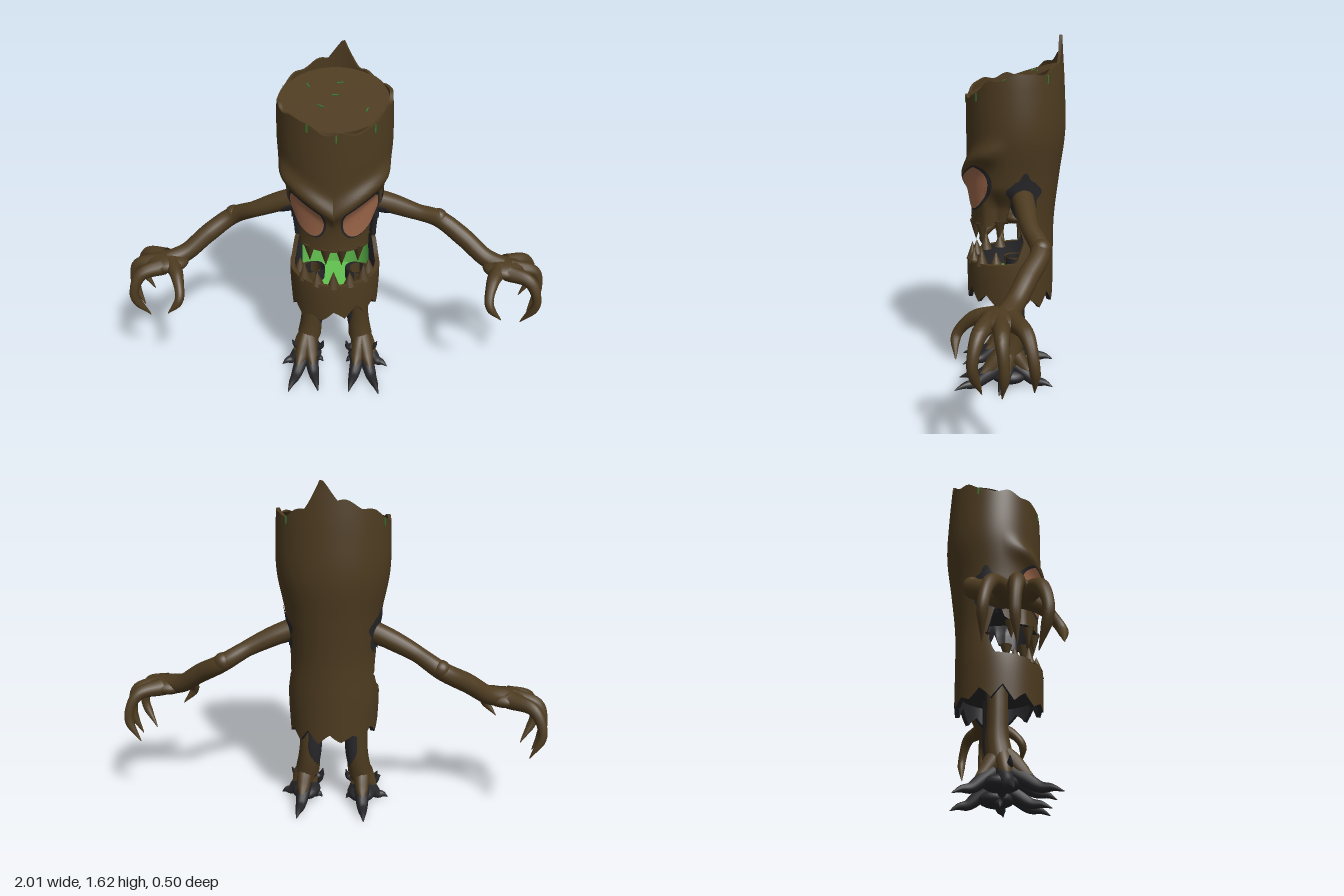
import * as THREE from 'three';
import { ParametricGeometry } from 'three/addons/geometries/ParametricGeometry.js';

const mat = (name, color) => new THREE.MeshStandardMaterial({ name, color, side: THREE.DoubleSide });
const { lerp, smoothstep, clamp } = THREE.MathUtils;

// piecewise linear lookup
function pl(x, xs, ys) {
  for (let i = 1; i < xs.length; i++) {
    if (x <= xs[i]) return lerp(ys[i - 1], ys[i], Math.max(0, (x - xs[i - 1]) / (xs[i] - xs[i - 1])));
  }
  return ys[ys.length - 1];
}

// trunk sections every 0.2 in height from y = 0.4: half width, front z, back z
const sections = new THREE.CatmullRomCurve3([
  [0.205, 0.2, -0.2], [0.213, 0.2, -0.2], [0.2, 0.18, -0.203], [0.22, 0.195, -0.225],
  [0.255, 0.2, -0.25], [0.255, 0.2, -0.245], [0.24, 0.2, -0.232],
].map((p) => new THREE.Vector3(...p)), false, 'catmullrom');

const browLine = (x) => 0.95 + 0.77 * Math.abs(x);
const side = (a) => Math.abs(Math.atan2(Math.sin(a), Math.cos(a)));

// point on the trunk: a = angle from the front, k = radius factor, off = outward offset
function trunk(a, y, k, off, target) {
  const s = sections.getPoint(clamp((y - 0.4) / 1.2, 0, 1));
  const cz = (s.y + s.z) / 2, hz = (s.y - s.z) / 2, b = side(a);
  // brow ridge, and cheeks pinched in beside the mouth
  const d = (y - browLine(Math.sin(a) * 0.21) - 0.03) / 0.05;
  const brow = 0.03 * smoothstep(Math.cos(a), 0.05, 0.6) * Math.exp(-d * d);
  const cheek = 0.035 * smoothstep(b, 0.85, 1.2) * (1 - smoothstep(b, 1.5, 1.72))
    * smoothstep(y, 0.63, 0.67) * (1 - smoothstep(y, 0.86, 0.98));
  const o = off + brow - cheek;
  return target.set(Math.sin(a) * (s.x * k + o), y, cz + Math.cos(a) * (hz * k + o));
}

// edges of the trunk: slanted broken rim, hem and mouth
const cutPlane = (z) => 1.43 - 0.33 * z;
const rimBase = (a) => cutPlane(Math.cos(a) * 0.22 - 0.02) + 0.012;
const rim = (a) => rimBase(a) + 0.022 * Math.sin(3 * a + 3.9) + 0.008 * Math.sin(8 * a) + 0.005 * Math.sin(13 * a)
  + 0.11 * Math.max(0, 1 - Math.abs(a - 3.0) / 0.3);
const hem = (a) => {
  const t = (a * 12) / (2 * Math.PI);
  const saw = Math.abs((t - Math.floor(t)) * 2 - 1);
  return 0.412 + saw * (0.045 + 0.02 * Math.sin(a * 3)) + 0.012 * Math.sin(a * 2);
};
const mouthTop = (a) => pl(side(a), [0, 1.0, 1.42, 1.58, 1.9], [0.775, 0.785, 0.82, 0.9, 0.72]);
const mouthLow = (a) => pl(side(a), [0, 1.2, 1.75, 1.9], [0.6, 0.615, 0.625, 0.72]);

const shell = (lo, hi, k, rows = 44, a0 = 0, a1 = 2 * Math.PI) => new ParametricGeometry((u, v, t) => {
  const a = lerp(a0, a1, u);
  trunk(a, lerp(lo(a), hi(a), v), k, 0, t);
}, 120, rows);

// flat band or cap joining two radii along an edge
const band = (edge, k0, k1) => new ParametricGeometry((u, v, t) => {
  const a = u * 2 * Math.PI;
  trunk(a, edge(a), lerp(k0, k1, v), 0, t);
}, 120, 4);

// thin plate hugging the trunk; outline(angle) returns [trunk angle, y]
const plate = (outline, centre, off, s) => new ParametricGeometry((u, v, t) => {
  const o = outline(-u * 2 * Math.PI * s), w = Math.max(v, 0.01);
  trunk(s * lerp(centre[0], o[0], w), lerp(centre[1], o[1], w), 1, off, t);
}, 48, 12);

// tapered round limb along a smooth curve
function limb(points, radii, s = 1, sides = 12, steps = 24) {
  const curve = new THREE.CatmullRomCurve3(points.map(([x, y, z]) => new THREE.Vector3(x * s, y, z)));
  const g = new THREE.TubeGeometry(curve, steps, 1, sides);
  const pos = g.attributes.position, p = new THREE.Vector3();
  const stops = radii.map((_, i) => i / (radii.length - 1));
  for (let i = 0; i <= steps; i++) {
    const c = curve.getPointAt(i / steps), r = pl(i / steps, stops, radii);
    for (let j = 0; j <= sides; j++) {
      const n = i * (sides + 1) + j;
      p.fromBufferAttribute(pos, n).sub(c).multiplyScalar(r).add(c);
      pos.setXYZ(n, p.x, p.y, p.z);
    }
  }
  return g;
}

const ball = (x, y, z, rx, ry, rz) => new THREE.SphereGeometry(1, 20, 14).scale(rx, ry, rz).translate(x, y, z);

export function createModel() {
  const model = new THREE.Group();
  model.name = 'treeMonster';
  const bark = mat('bark', 0x4d3b20), dark = mat('darkWood', 0x27272a);
  const eyeMat = mat('eye', 0xa0694b), green = mat('mouthGreen', 0x62c250), moss = mat('moss', 0x34752f);
  const add = (name, geometry, material) => {
    const m = new THREE.Mesh(geometry, material);
    m.name = name;
    model.add(m);
    return m;
  };

  // trunk, split by the mouth, with a dark lining
  add('head', shell(mouthTop, rim, 1), bark);
  add('lowerTrunk', shell(hem, mouthLow, 1, 16), bark);
  add('headLining', shell(mouthTop, () => 0.95, 0.9, 8), dark);
  add('lowerLining', shell(hem, mouthLow, 0.9, 8), dark);
  add('upperLip', band(mouthTop, 0.9, 1), dark);
  add('lowerLip', band(mouthLow, 1, 0.9), bark);
  add('hemEdge', band(hem, 0.9, 1), dark);
  add('mouthCeiling', band(() => 0.93, 0.01, 0.91), dark);
  add('mouthFloor', band(() => 0.51, 0.84, 0.01), green);
  add('belly', band(() => 0.5, 0.91, 0.01), dark);
  add('mouthBack', shell(() => 0.51, () => 0.92, 0.84, 8, 2.02, 2 * Math.PI - 2.02), green);

  // broken top with slanted cut face
  add('rimEdge', band(rim, 1, 0.94), bark);
  add('rimInside', shell((a) => rimBase(a) - 0.06, rim, 0.94, 4), bark);
  add('cutFace', new ParametricGeometry((u, v, t) => {
    trunk(u * 2 * Math.PI, 1.43, 0.95 * Math.max(0.005, 1 - v), 0, t);
    t.y = cutPlane(t.z);
  }, 60, 8), bark);
  for (const [x, z] of [[-0.12, -0.1], [0.02, -0.12], [0.14, 0.05], [-0.06, 0.03], [0.0, -0.04]]) {
    const m = add('mossFleck', new THREE.BoxGeometry(0.028, 0.005, 0.006), moss);
    m.position.set(x, cutPlane(z) + 0.001, z);
    m.rotation.set(0.32, x * 9, 0);
  }
  for (const a of [-0.45, 0.05, 0.75, 2.3, -2]) {
    const m = add('mossDrip', new THREE.BoxGeometry(0.007, 0.035, 0.006), moss);
    trunk(a, rim((a + 2 * Math.PI) % (2 * Math.PI)) - 0.02, 1, 0, m.position);
    m.rotation.y = a;
  }

  // jagged teeth along both lips
  const tooth = (a, y, h, dir, inset) => {
    const m = add(dir < 0 ? 'upperTooth' : 'lowerTooth', new THREE.ConeGeometry(0.029, h, 10), bark);
    trunk(a, y, 1, -inset, m.position);
    m.position.y += (dir * h) / 2 - dir * 0.012;
    m.rotation.x = dir < 0 ? Math.PI : 0;
  };
  [-1.15, -0.66, -0.2, 0.2, 0.66, 1.15].forEach((a, i) => tooth(a, mouthTop(a), i % 5 ? 0.095 : 0.085, -1, 0.02));
  [-1.2, -0.8, -0.4, 0, 0.4, 0.8, 1.2].forEach((a, i) => tooth(a, mouthLow(a), i % 2 ? 0.085 : 0.068, 1, i % 6 ? 0.022 : 0.04));

  for (const s of [1, -1]) {
    const part = (name, g, m) => add((s > 0 ? 'left' : 'right') + name, g, m);

    // slanted eye with dark outline
    const eye = (grow) => (p) => {
      const x = 0.112 + (0.072 + grow) * Math.cos(p);
      const y = 0.962 + (0.102 + grow) * Math.sin(p) + 0.35 * (x - 0.112);
      return [Math.asin(x / 0.212), Math.min(y, browLine(x) + grow)];
    };
    const eyeCentre = [Math.asin(0.112 / 0.212), 0.95];
    part('EyeOutline', plate(eye(0.009), eyeCentre, 0.003, s), dark);
    part('Eye', plate(eye(0), eyeCentre, 0.007, s), eyeMat);

    // ragged dark patch around the shoulder
    part('ShoulderPatch', plate((p) => {
      const r = 1 + 0.13 * Math.sin(5 * p) + 0.06 * Math.sin(9 * p);
      return [1.85 + 0.35 * r * Math.cos(p), 0.932 + 0.095 * r * Math.sin(p)];
    }, [1.85, 0.932], 0.005, s), dark);

    // arm, elbow knob and hand
    part('Arm', limb([[0.17, 0.93, -0.06], [0.25, 0.9, -0.075], [0.38, 0.84, -0.1], [0.5, 0.775, -0.145],
      [0.62, 0.7, -0.095], [0.72, 0.625, -0.045], [0.8, 0.6, -0.01]], [0.05, 0.046, 0.038, 0.042, 0.045, 0.043, 0.045], s, 16, 40), bark);
    part('ArmShade', limb([[0.19, 0.91, -0.06], [0.25, 0.887, -0.07], [0.31, 0.868, -0.084]], [0.045, 0.038, 0.025], s), dark);
    part('Elbow', ball(0.495 * s, 0.785, -0.148, 0.042, 0.042, 0.042), bark);
    part('Palm', ball(0.805 * s, 0.597, 0, 0.1, 0.042, 0.085), bark);
    const fingers = [
      [[0.82, 0.6, -0.04], [0.925, 0.58, -0.1], [0.97, 0.47, -0.13], [0.92, 0.35, -0.13]],
      [[0.83, 0.6, 0], [0.955, 0.57, -0.01], [0.983, 0.45, -0.02], [0.945, 0.335, -0.01]],
      [[0.82, 0.595, 0.04], [0.92, 0.57, 0.08], [0.96, 0.46, 0.1], [0.9, 0.33, 0.07]],
      [[0.78, 0.6, 0.02], [0.74, 0.575, 0.11], [0.725, 0.5, 0.18], [0.785, 0.42, 0.18]],
    ];
    fingers.forEach((f) => part('Finger', limb(f, [0.042, 0.032, 0.023, 0.02, 0.002], s), bark));

    // leg with dark inner side
    part('Leg', limb([[0.12, 0.57, -0.015], [0.118, 0.4, -0.015], [0.12, 0.25, -0.015], [0.135, 0.13, 0], [0.14, 0.06, 0]],
      [0.05, 0.046, 0.047, 0.058, 0.03], s, 16), bark);
    part('LegShade', limb([[0.097, 0.57, -0.022], [0.097, 0.4, -0.022], [0.103, 0.28, -0.022], [0.115, 0.15, -0.01]],
      [0.048, 0.045, 0.044, 0.034], s, 16), dark);

    // root toes: bark on top, dark sole and claw
    part('Sole', ball(0.138 * s, 0.06, 0, 0.07, 0.04, 0.085), dark);
    const toes = [[0.22, 0.25], [0.075, 0.24], [0.265, 0.04], [0.06, 0.01], [0.16, -0.205]];
    toes.forEach(([x, z]) => {
      const at = (t, y) => [lerp(0.135, x, t), y, z * t];
      part('Claw', limb([at(0.15, 0.11), at(0.4, 0.07), at(0.62, 0.036), at(0.82, 0.03), at(1, 0.012)],
        [0.036, 0.034, 0.028, 0.018, 0.002], s), dark);
      part('Toe', limb([at(0, 0.2), at(0.2, 0.15), at(0.37, 0.1), at(0.54, 0.065)], [0.036, 0.038, 0.031, 0.01], s), bark);
    });

    // small thorns at the ankle
    part('Thorn', limb([[0.16, 0.12, 0.02], [0.195, 0.13, 0.03], [0.213, 0.16, 0.03]], [0.025, 0.015, 0.002], s), dark);
    part('Thorn', limb([[0.1, 0.12, 0.02], [0.07, 0.125, 0.03], [0.057, 0.16, 0.03]], [0.025, 0.015, 0.002], s), dark);
  }
  return model;
}
